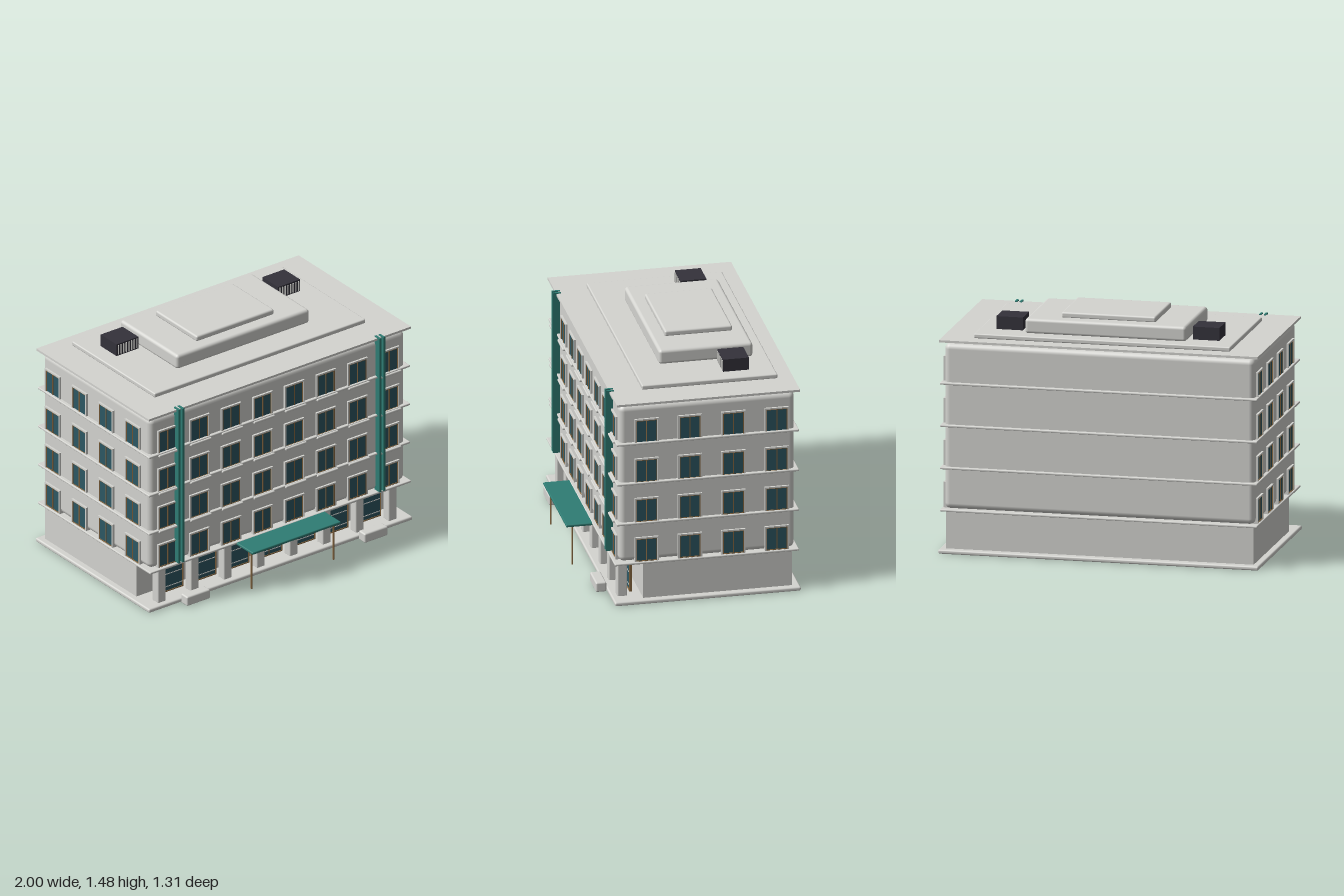
import * as THREE from 'three';
import { RoundedBoxGeometry } from 'three/addons/geometries/RoundedBoxGeometry.js';

const paint = (name, hex) => {
  const m = new THREE.MeshStandardMaterial({ color: hex });
  m.name = name;
  return m;
};

export function createModel() {
  const stone = paint('pale stone', 0xd4d4d0);
  const teal = paint('teal metal', 0x2f7d74);
  const glass = paint('blue green glass', 0x2d5763);
  const wood = paint('bronze wood', 0x8a6a42);
  const dark = paint('dark metal', 0x34323b);

  const model = new THREE.Group();
  model.name = 'building';

  // Box given by its limits on each axis; r rounds the edges
  function block(parent, name, mat, [x0, x1], [y0, y1], [z0, z1], r = 0) {
    const w = x1 - x0, h = y1 - y0, d = z1 - z0;
    const geo = r ? new RoundedBoxGeometry(w, h, d, 3, r) : new THREE.BoxGeometry(w, h, d);
    const mesh = new THREE.Mesh(geo, mat);
    mesh.name = name;
    mesh.position.set((x0 + x1) / 2, (y0 + y1) / 2, (z0 + z1) / 2);
    parent.add(mesh);
    return mesh;
  }
  const around = (c, w) => [c - w / 2, c + w / 2];

  // Rectangular frame in the local xy plane, centred on the origin
  function frame(parent, name, mat, w, h, t, depth) {
    for (const s of [-1, 1]) {
      block(parent, name, mat, around(s * (w - t) / 2, t), around(0, h), depth);
      block(parent, name, mat, around(0, w - 2 * t), around(s * (h - t) / 2, t), depth);
    }
  }

  // Main masses
  block(model, 'baseSlab', stone, [-1, 1], [0, 0.026], [-0.66, 0.495], 0.01);
  block(model, 'groundFloor', stone, [-0.96, 0.96], [0.026, 0.265], [-0.612, 0.312]);
  block(model, 'upperFloors', stone, [-0.968, 0.968], [0.276, 1.306], [-0.628, 0.462], 0.035);

  // Floor bands
  const pitch = 0.2635;
  for (let i = 0; i < 4; i++) {
    const y = 0.269 + i * pitch;
    block(model, 'floorBand', stone, [-0.99, 0.99], around(y, 0.014), [-0.65, i ? 0.482 : 0.494], 0.005);
  }

  // Stepped roof
  block(model, 'roofNeck', stone, [-0.9, 0.9], [1.3, 1.32], [-0.56, 0.4]);
  block(model, 'roofSlab', stone, [-0.995, 0.995], [1.317, 1.331], [-0.655, 0.484]);
  block(model, 'roofTerrace', stone, [-0.8, 0.8], [1.331, 1.36], [-0.557, 0.285], 0.008);
  block(model, 'penthouse', stone, [-0.503, 0.503], [1.355, 1.45], [-0.468, 0.115], 0.02);
  block(model, 'penthouseCap', stone, [-0.294, 0.294], [1.445, 1.483], [-0.385, 0.034], 0.012);

  // Rooftop cooling units with slats on the front
  for (const s of [-1, 1]) {
    const unit = new THREE.Group();
    unit.name = 'coolingUnit';
    unit.position.x = s * 0.613;
    block(unit, 'coolingBox', dark, around(0, 0.166), [1.36, 1.44], [-0.402, -0.242]);
    for (let i = 0; i < 8; i++) {
      block(unit, 'coolingSlat', stone, around(-0.07 + i * 0.02, 0.006), [1.368, 1.432], [-0.243, -0.236]);
    }
    model.add(unit);
  }

  // One upper window, facing +z with its wall plane at z = 0
  const windowUnit = new THREE.Group();
  windowUnit.name = 'window';
  frame(windowUnit, 'windowTrim', stone, 0.15, 0.168, 0.01, [-0.02, 0.013]);
  block(windowUnit, 'windowGlass', glass, around(0, 0.132), around(0, 0.15), [-0.02, 0.006]);
  frame(windowUnit, 'windowFrame', wood, 0.13, 0.148, 0.005, [0, 0.01]);
  block(windowUnit, 'windowMullion', wood, around(0, 0.006), around(0, 0.14), [0, 0.01]);

  function addWindow(x, y, z, turn) {
    const copy = windowUnit.clone();
    copy.position.set(x, y, z);
    copy.rotation.y = turn;
    model.add(copy);
  }

  for (let row = 0; row < 4; row++) {
    const y = 0.351 + row * 0.2567 + row * 0.0045;
    // Front windows with sills
    for (let i = 0; i < 8; i++) {
      const x = -0.84 + i * 0.24;
      addWindow(x, y, 0.462, 0);
      block(model, 'windowSill', stone, around(x, 0.158), around(y - 0.083, 0.016), [0.45, 0.493], 0.006);
    }
    // Side windows
    for (let i = 0; i < 4; i++) {
      const z = 0.294 - i * 0.2695;
      for (const s of [-1, 1]) addWindow(s * 0.968, y, z, s * Math.PI / 2);
    }
  }

  // Arcade columns
  for (let i = 0; i < 8; i++) {
    block(model, 'column', stone, around(-0.875 + i * 0.25, 0.06), [0.02, 0.268], [0.398, 0.46], 0.008);
  }

  // Shopfronts behind the columns
  for (let i = 0; i < 7; i++) {
    const shop = new THREE.Group();
    shop.name = 'shopfront';
    shop.position.set(-0.75 + i * 0.25, 0.145, 0.366);
    block(shop, 'shopGlass', glass, around(0, 0.196), around(0, 0.232), [-0.004, 0.004]);
    frame(shop, 'shopFrame', wood, 0.202, 0.238, 0.007, [-0.008, 0.008]);
    for (const y of [-0.085, 0.0]) {
      block(shop, 'shopRail', stone, around(0, 0.188), around(y, 0.005), [-0.006, 0.006]);
    }
    if (i === 3) {
      block(shop, 'doorRail', wood, around(0, 0.2), around(0.062, 0.01), [0.004, 0.014]);
      block(shop, 'doorMullion', wood, around(0, 0.006), around(0, 0.226), [-0.007, 0.007]);
      for (const s of [-1, 1]) {
        block(shop, 'doorHandle', dark, around(s * 0.012, 0.006), around(-0.02, 0.06), [0.006, 0.018]);
      }
    }
    model.add(shop);
  }

  // Entrance canopy on two thin posts
  block(model, 'canopy', teal, [-0.335, 0.335], [0.256, 0.273], [0.48, 0.655], 0.006);

  for (const s of [-1, 1]) {
    const post = new THREE.Mesh(new THREE.CylinderGeometry(0.005, 0.005, 0.258, 12), wood);
    post.name = 'canopyPost';
    post.position.set(s * 0.311, 0.129, 0.612);
    model.add(post);

    // Paired vertical fins
    for (const x of [0.747, 0.777]) {
      block(model, 'facadeFin', teal, around(s * x, 0.013), [0.278, 1.337], [0.455, 0.505]);
    }

    // Pavement planters
    block(model, 'planter', stone, around(s * 0.674, 0.176), [0, 0.063], [0.497, 0.563], 0.01);
  }

  return model;
}
